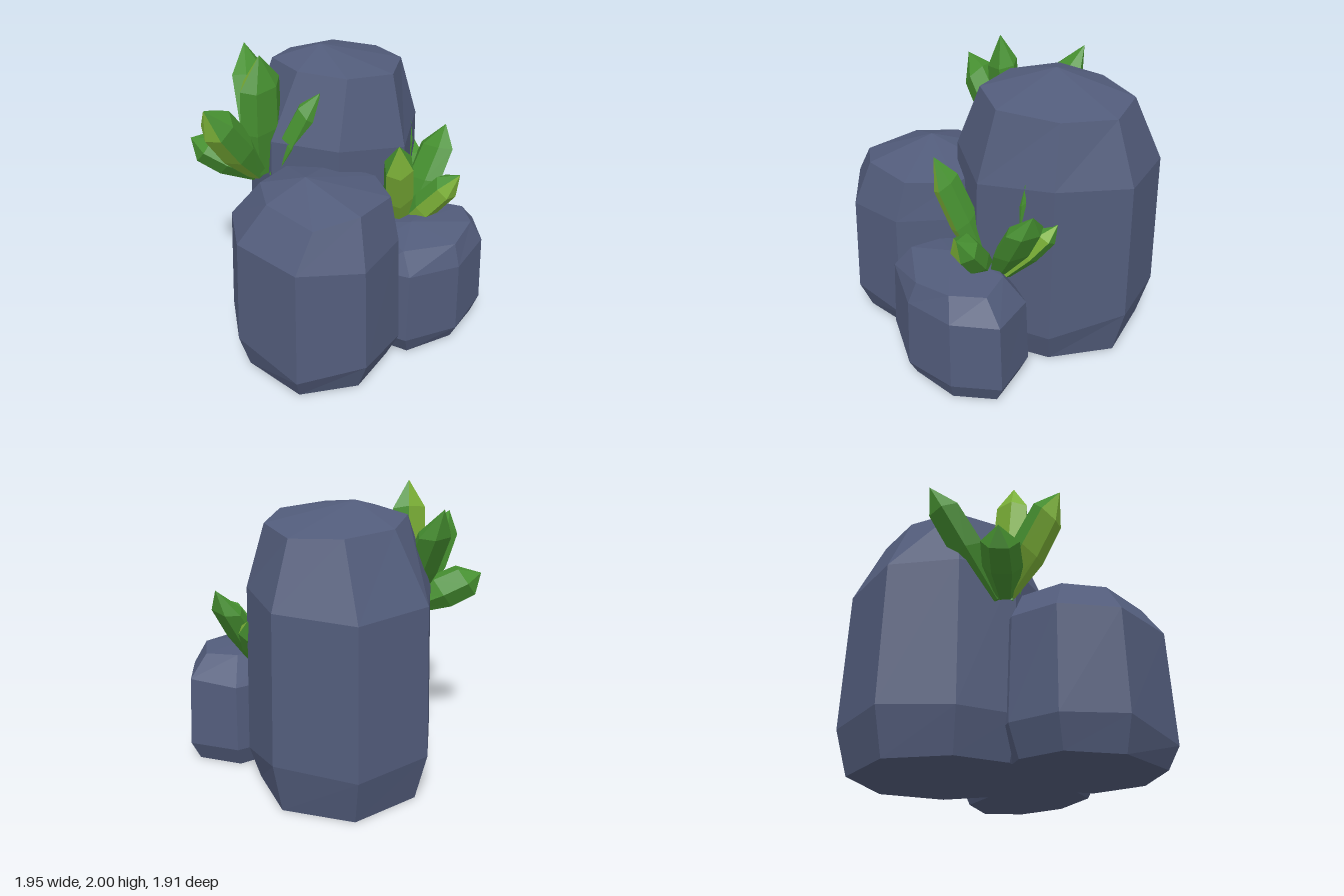
import * as THREE from 'three';

const stone = new THREE.MeshStandardMaterial({ color: 0x525c7b });
stone.name = 'slateStone';
const green = new THREE.MeshStandardMaterial({ color: 0x469030 });
green.name = 'leafGreen';
const lime = new THREE.MeshStandardMaterial({ color: 0x7db338 });
lime.name = 'limeGreen';

// Faceted geometry from a flat list of triangle corners
function facets(corners) {
  const geo = new THREE.BufferGeometry().setFromPoints(corners);
  geo.computeVertexNormals();
  return geo;
}

// Eight-sided boulder: a widest outline near the ground, tapered above and below, and a peaked cap.
// Outlines run back, right, front, left as [x, z]; cap corners are [x, y, z].
function boulder(name, { centre, outline, foot, shoulder, lowY, highY, cap, peak }) {
  const [cx, cz] = centre;
  const ring = (scale, heights) => outline.map(([x, z], i) =>
    new THREE.Vector3(cx + (x - cx) * scale, heights ? heights[i] : 0, cz + (z - cz) * scale));
  const rings = [ring(foot), ring(1, lowY), ring(shoulder, highY), cap.map((p) => new THREE.Vector3(...p))];
  const top = new THREE.Vector3(...peak);
  const bottom = new THREE.Vector3(cx, 0, cz);
  const corners = [];
  for (let i = 0; i < outline.length; i++) {
    const j = (i + 1) % outline.length;
    for (let r = 0; r < 3; r++) {
      const a = rings[r], b = rings[r + 1];
      corners.push(a[j], a[i], b[i], a[j], b[i], b[j]);
    }
    corners.push(rings[3][j], rings[3][i], top, rings[0][i], rings[0][j], bottom);
  }
  const mesh = new THREE.Mesh(facets(corners), stone);
  mesh.name = name;
  return mesh;
}

// Six-sided crystal growing from base to tip; faces turned towards "bright" (if given) are lime
function crystal(name, { base, tip, wide, radius, bright }) {
  const start = new THREE.Vector3(...base);
  const end = new THREE.Vector3(...tip);
  const axis = end.clone().sub(start);
  const dir = axis.clone().normalize();
  const u = new THREE.Vector3(...wide);
  u.addScaledVector(dir, -dir.dot(u)).normalize();
  const v = new THREE.Vector3().crossVectors(u, dir);
  const ring = (t, scale, slant) => Array.from({ length: 6 }, (_, i) => {
    const a = (i / 6) * Math.PI * 2;
    return start.clone().addScaledVector(axis, t + slant * Math.cos(a + 1))
      .addScaledVector(u, Math.cos(a) * radius[0] * scale)
      .addScaledVector(v, Math.sin(a) * radius[1] * scale);
  });
  const low = ring(0, 0.55, 0), mid = ring(0.42, 1.03, 0.04), high = ring(0.77, 0.97, 0.04);
  const plain = [], lit = [];
  for (let i = 0; i < 6; i++) {
    const j = (i + 1) % 6;
    const out = mid[i].clone().add(mid[j]).multiplyScalar(0.5).sub(start);
    out.addScaledVector(dir, -out.dot(dir)).normalize();
    const list = bright && out.dot(new THREE.Vector3(...bright).normalize()) > 0.55 ? lit : plain;
    list.push(low[j], low[i], mid[i], low[j], mid[i], mid[j]);
    list.push(mid[j], mid[i], high[i], mid[j], high[i], high[j]);
    list.push(high[j], high[i], end);
    plain.push(low[i], low[j], start);
  }
  const group = new THREE.Group();
  group.name = name;
  for (const [label, list, material] of [['greenFaces', plain, green], ['limeFaces', lit, lime]]) {
    if (!list.length) continue;
    const mesh = new THREE.Mesh(facets(list), material);
    mesh.name = label;
    group.add(mesh);
  }
  return group;
}

export function createModel() {
  const model = new THREE.Group();
  model.name = 'crystalBoulders';

  model.add(boulder('tallBoulder', {
    centre: [0.3, -0.29], foot: 0.88, shoulder: 0.96,
    outline: [[0.11, -0.96], [0.68, -0.91], [0.97, -0.43], [0.79, 0.08], [0.35, 0.41], [-0.16, 0.28], [-0.39, -0.2], [-0.28, -0.62]],
    lowY: [0.33, 0.32, 0.355, 0.23, 0.25, 0.28, 0.3, 0.3],
    highY: [1.35, 1.33, 1.36, 1.39, 1.34, 1.4, 1.38, 1.35],
    cap: [[0.2, 1.81, -0.71], [0.59, 1.8, -0.68], [0.78, 1.785, -0.39], [0.68, 1.81, -0.02],
      [0.35, 1.83, 0.24], [0.01, 1.85, 0.16], [-0.15, 1.85, -0.17], [-0.09, 1.84, -0.54]],
    peak: [0.18, 1.94, -0.33],
  }));
  model.add(boulder('middleBoulder', {
    centre: [-0.43, 0.32], foot: 0.87, shoulder: 0.95,
    outline: [[-0.4, -0.3], [0.08, -0.12], [0.16, 0.37], [-0.06, 0.81], [-0.49, 0.95], [-0.9, 0.74], [-0.975, 0.2], [-0.75, -0.2]],
    lowY: [0.22, 0.2, 0.18, 0.17, 0.21, 0.16, 0.24, 0.22],
    highY: [0.97, 0.95, 0.95, 0.945, 0.93, 0.97, 0.98, 0.97],
    cap: [[-0.31, 1.22, -0.1], [-0.03, 1.22, 0.06], [0.07, 1.21, 0.39], [-0.08, 1.23, 0.7],
      [-0.43, 1.255, 0.8], [-0.715, 1.21, 0.69], [-0.76, 1.235, 0.28], [-0.61, 1.23, 0]],
    peak: [-0.46, 1.34, 0.3],
  }));
  model.add(boulder('smallBoulder', {
    centre: [0.42, 0.55], foot: 0.87, shoulder: 0.95,
    outline: [[0.38, 0.18], [0.78, 0.24], [0.965, 0.56], [0.76, 0.83], [0.375, 0.95], [-0.04, 0.86], [-0.15, 0.58], [0, 0.2]],
    lowY: [0.13, 0.14, 0.14, 0.14, 0.105, 0.14, 0.13, 0.13],
    highY: [0.61, 0.61, 0.635, 0.64, 0.615, 0.65, 0.63, 0.62],
    cap: [[0.39, 0.8, 0.33], [0.66, 0.8, 0.37], [0.79, 0.79, 0.57], [0.66, 0.8, 0.77],
      [0.39, 0.765, 0.87], [0.03, 0.785, 0.73], [0.06, 0.8, 0.52], [0.15, 0.81, 0.38]],
    peak: [0.28, 0.84, 0.55],
  }));

  // Cluster on the small boulder, then the cluster between the two larger ones
  const lower = [
    { base: [0.36, 0.7, 0.34], tip: [0.11, 1.48, 0.567], wide: [1, 0, 0], radius: [0.115, 0.1], bright: [-0.5, 0, 0.85] },
    { base: [0.4, 0.68, 0.34], tip: [0.61, 1.15, 0.68], wide: [1, 0, 0], radius: [0.115, 0.1], bright: [-0.4, 0, 0.9] },
    { base: [0.5, 0.7, 0.3], tip: [0.87, 1.335, 0.287], wide: [0, 0, 1], radius: [0.15, 0.08] },
    { base: [0.54, 0.72, 0.28], tip: [0.79, 1.16, 0.045], wide: [0, 0, 1], radius: [0.08, 0.08], bright: [0.4, -0.2, 0.85] },
    { base: [0.56, 0.8, 0.18], tip: [0.61, 1.405, 0.18], wide: [1, 0, 0], radius: [0.025, 0.03] },
  ];
  const upper = [
    { base: [-0.38, 1.12, -0.3], tip: [-0.405, 2, -0.245], wide: [1, 0, 0], radius: [0.165, 0.09], bright: [-0.4, 0, -0.9] },
    { base: [-0.4, 1.12, -0.32], tip: [-0.86, 1.73, -0.235], wide: [1, 0, 0], radius: [0.13, 0.12], bright: [-0.65, -0.7, -0.1] },
    { base: [-0.4, 1.12, -0.32], tip: [-0.73, 1.36, -0.66], wide: [1, 0, -1], radius: [0.13, 0.13] },
    { base: [-0.32, 1.1, -0.32], tip: [-0.15, 1.9, -0.8], wide: [1, 0, 0], radius: [0.15, 0.09] },
    { base: [-0.32, 1.1, -0.22], tip: [-0.11, 1.74, 0.02], wide: [1, 0, -1], radius: [0.09, 0.1] },
  ];
  for (const [name, list] of [['lowerCrystals', lower], ['upperCrystals', upper]]) {
    const cluster = new THREE.Group();
    cluster.name = name;
    list.forEach((spec, i) => cluster.add(crystal(`crystal${i + 1}`, spec)));
    model.add(cluster);
  }
  return model;
}
